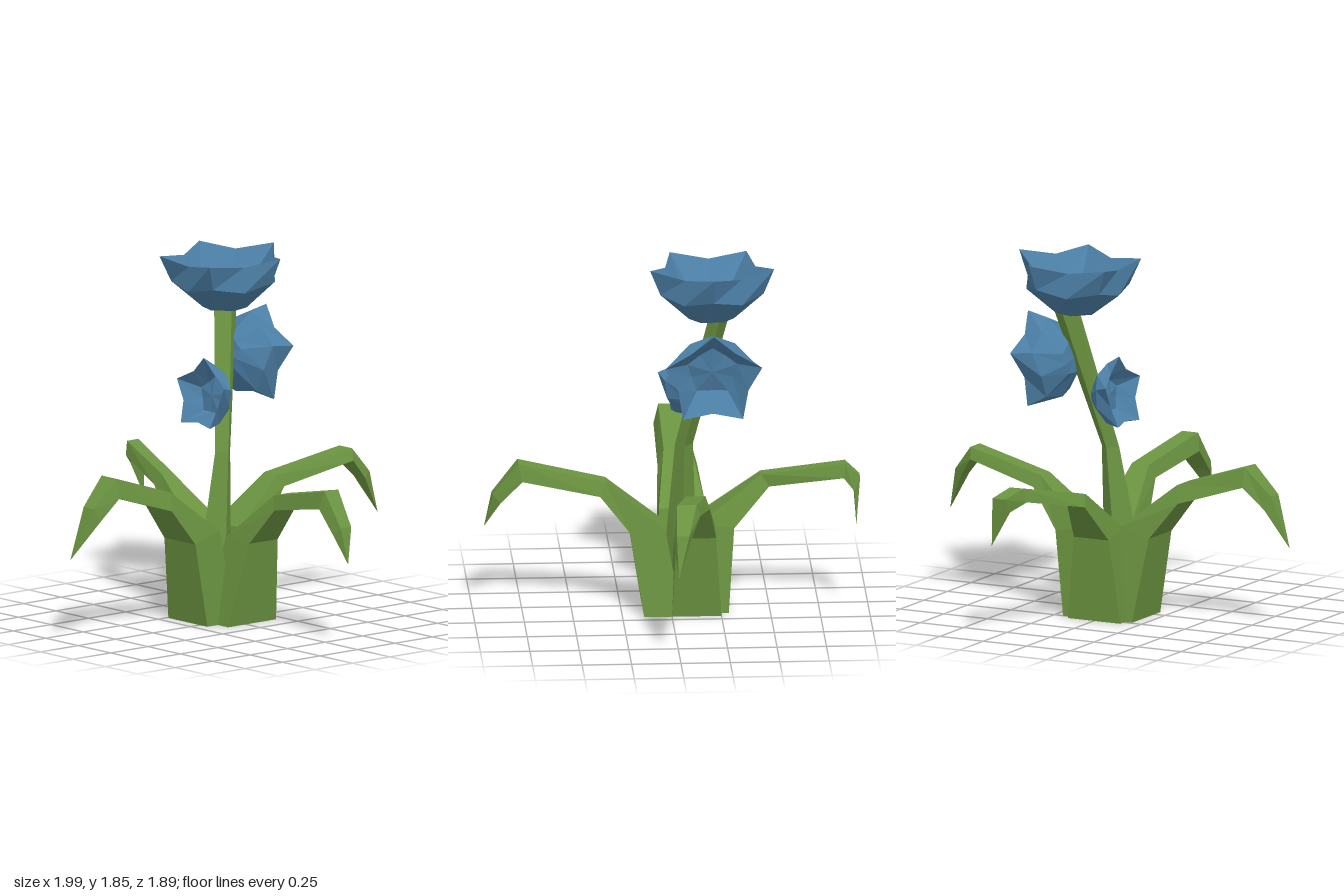
import * as THREE from 'three';

// Skins a list of closed rings (same point count); a ring may collapse to one point.
function loft(rings) {
  const pos = [];
  const tri = (a, b, c) => {
    if (a.distanceTo(b) < 1e-6 || b.distanceTo(c) < 1e-6 || a.distanceTo(c) < 1e-6) return;
    for (const p of [a, b, c]) pos.push(p.x, p.y, p.z);
  };
  for (let k = 0; k + 1 < rings.length; k++) {
    const A = rings[k], B = rings[k + 1], n = A.length;
    for (let i = 0; i < n; i++) {
      const j = (i + 1) % n;
      tri(A[i], B[i], A[j]);
      tri(B[i], B[j], A[j]);
    }
  }
  const geo = new THREE.BufferGeometry();
  geo.setAttribute('position', new THREE.Float32BufferAttribute(pos, 3));
  geo.computeVertexNormals();
  return geo;
}

const V = (x, y, z) => new THREE.Vector3(x, y, z);

// Ring collapsed to the centre of another, used as an end cap
function capOf(ring) {
  const c = V(0, 0, 0);
  ring.forEach(p => c.addScaledVector(p, 1 / ring.length));
  return ring.map(() => c.clone());
}

// Section: [outer distance, outer y, inner distance, inner y, side min, side max]
function leafGeometry(sections) {
  const rings = sections.map(([ab, yb, at, yt, s0, s1], i) => {
    const inset = i > 1 ? (s1 - s0) * 0.15 : 0;
    return [V(ab, yb, s0), V(ab, yb, s1), V(at, yt, s1 - inset), V(at, yt, s0 + inset)];
  });
  return loft([capOf(rings[0]), ...rings]);
}

// Five-pointed bowl: rings of [tip radius, tip y, notch radius, notch y]
function flowerGeometry() {
  const profile = [
    [0, -0.29, 0, -0.29],
    [0.12, -0.27, 0.1, -0.28],
    [0.275, -0.13, 0.25, -0.16],
    [0.33, 0, 0.24, -0.03],
    [0.17, -0.16, 0.14, -0.17],
    [0, -0.15, 0, -0.15],
  ];
  return loft(profile.map(([r0, y0, r1, y1]) =>
    Array.from({ length: 10 }, (_, i) => {
      const t = (i * Math.PI) / 5, r = i % 2 ? r1 : r0;
      return V(r * Math.cos(t), i % 2 ? y1 : y0, r * Math.sin(t));
    })));
}

export function createModel() {
  const green = new THREE.MeshStandardMaterial({ color: 0x6a9340, flatShading: true });
  green.name = 'leafGreen';
  const blue = new THREE.MeshStandardMaterial({ color: 0x4b7ea5, flatShading: true });
  blue.name = 'petalBlue';

  const model = new THREE.Group();
  model.name = 'flowerPlant';
  const add = (name, geo, mat) => {
    const mesh = new THREE.Mesh(geo, mat);
    mesh.name = name;
    model.add(mesh);
    return mesh;
  };

  // Four drooping leaves whose thick bases form the clump
  const leaves = [
    ['leftLeaf', 0, [
      [0.2, 0, 0, 0, -0.25, 0], [0.26, 0.43, 0.1, 0.46, -0.22, -0.02],
      [0.41, 0.63, 0.38, 0.69, -0.18, -0.04], [0.81, 0.72, 0.82, 0.78, -0.11, 0.03],
      [0.89, 0.62, 0.93, 0.65, -0.06, 0.03], [0.99, 0.43, 0.99, 0.43, 0.01, 0.01]]],
    ['rightLeaf', Math.PI, [
      [0.19, 0, 0, 0, -0.06, 0.24], [0.26, 0.43, 0.1, 0.48, -0.05, 0.19],
      [0.41, 0.62, 0.39, 0.71, -0.04, 0.16], [0.76, 0.73, 0.76, 0.83, -0.04, 0.12],
      [0.87, 0.62, 0.9, 0.69, -0.02, 0.09], [1, 0.43, 1, 0.43, 0.06, 0.06]]],
    ['frontLeaf', -Math.PI / 2, [
      [0.14, 0, -0.05, 0, -0.2, 0.12], [0.21, 0.43, 0.03, 0.44, -0.15, 0.04],
      [0.36, 0.62, 0.33, 0.69, -0.14, 0], [0.75, 0.69, 0.77, 0.78, -0.09, 0.04],
      [0.86, 0.57, 0.9, 0.61, -0.06, 0.04], [0.94, 0.43, 0.94, 0.43, 0.01, 0.01]]],
    ['backLeaf', Math.PI / 2, [
      [0.29, 0, 0.1, 0, -0.15, 0.15], [0.32, 0.43, 0.15, 0.46, -0.1, 0.1],
      [0.5, 0.63, 0.46, 0.69, -0.06, 0.04], [0.87, 0.71, 0.88, 0.78, 0.07, 0.18],
      [0.92, 0.66, 0.95, 0.73, 0.14, 0.24], [0.93, 0.48, 0.93, 0.48, 0.24, 0.24]]],
  ];
  for (const [name, turn, sections] of leaves) {
    add(name, leafGeometry(sections), green).rotation.y = turn;
  }

  // Leaning four-sided stem: [y, x, z, half width x, half width z]
  const stem = [
    [0.05, -0.07, -0.04, 0.1, 0.08], [0.45, -0.02, -0.06, 0.09, 0.07],
    [0.86, 0.025, -0.07, 0.05, 0.045], [1.59, 0.19, -0.24, 0.075, 0.05],
  ].map(([y, x, z, rx, rz]) => [V(x + rx, y, z), V(x, y, z + rz), V(x - rx, y, z), V(x, y, z - rz)]);
  add('stem', loft([capOf(stem[0]), ...stem, capOf(stem[3])]), green);

  // Blooms: [name, rim centre, scale, opening direction, direction of one petal tip]
  const bloom = flowerGeometry();
  const blooms = [
    ['topFlower', V(0.15, 1.84, -0.2), 1, V(-0.04, 1, 0), V(1, 0.04, 0)],
    ['leftFlower', V(0.385, 1.29, -0.2), 0.78, V(0.985, -0.17, 0), V(0.17, 0.985, 0)],
    ['rightFlower', V(-0.085, 1.15, -0.125), 0.58, V(-0.985, 0.16, 0), V(0.16, 0.985, 0)],
  ];
  for (const [name, centre, scale, up, tip] of blooms) {
    const mesh = add(name, bloom, blue);
    const x = tip.normalize(), y = up.normalize();
    mesh.quaternion.setFromRotationMatrix(
      new THREE.Matrix4().makeBasis(x, y, x.clone().cross(y)));
    mesh.position.copy(centre);
    mesh.scale.setScalar(scale);
  }
  return model;
}
